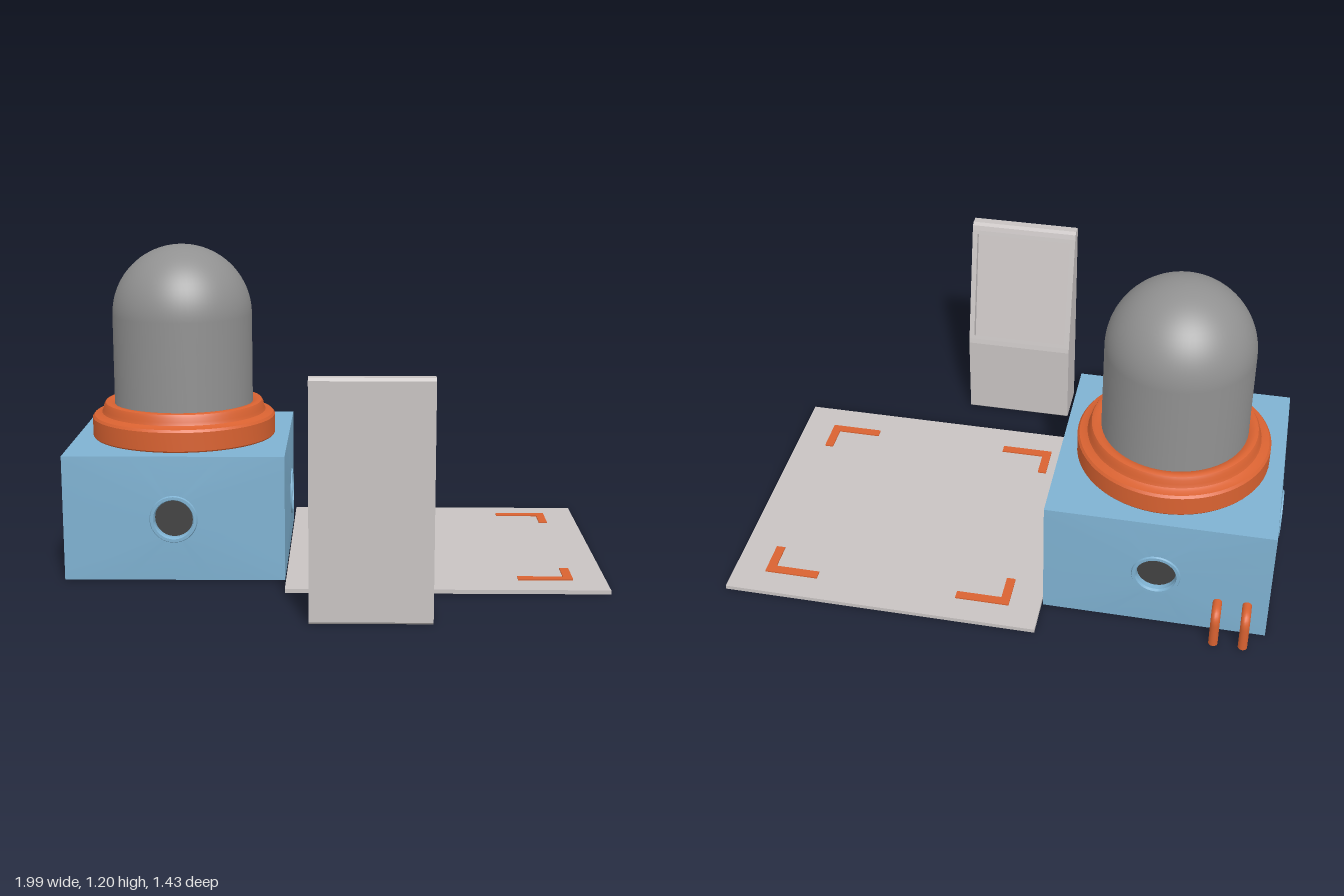
import * as THREE from 'three';
import { toCreasedNormals } from 'three/addons/utils/BufferGeometryUtils.js';

const mat = (name, color) => {
  const m = new THREE.MeshStandardMaterial({ color });
  m.name = name;
  return m;
};

export function createModel() {
  const blue = mat('blue', 0x7fb2d2);
  const orange = mat('orange', 0xd96231);
  const grey = mat('dome grey', 0x919191);
  const dark = mat('dark grey', 0x424242);
  const pale = mat('pale grey', 0xc8c3c2);

  const model = new THREE.Group();
  const add = (parent, name, geo, material, x = 0, y = 0, z = 0) => {
    const mesh = new THREE.Mesh(geo, material);
    mesh.name = name;
    mesh.position.set(x, y, z);
    parent.add(mesh);
    return mesh;
  };

  // Lamp unit: everything centred on the square base
  const lamp = new THREE.Group();
  lamp.name = 'lamp';
  lamp.position.set(-0.58, 0, -0.165);
  model.add(lamp);

  // Base: four bulging side panels, each with a recessed round port
  const half = 0.405, height = 0.465, recess = 0.388;
  const panelGeo = sidePanel(half, height / 2, [
    [0.088, 0.413], [0.085, 0.419], [0.074, 0.419], [0.07, 0.41], [0.07, recess],
  ]);
  for (let i = 0; i < 4; i++) {
    const side = new THREE.Group();
    side.name = 'baseSide';
    side.rotation.y = (i * Math.PI) / 2;
    lamp.add(side);
    add(side, 'sidePanel', panelGeo, blue, 0, height / 2, 0);
    add(side, 'port', new THREE.CircleGeometry(0.0705, 48), dark, 0, height / 2, recess + 0.001);
  }
  const lid = new THREE.PlaneGeometry(half * 2, half * 2);
  add(lamp, 'baseTop', lid, blue, 0, height, 0).rotation.x = -Math.PI / 2;
  add(lamp, 'baseBottom', lid, blue).rotation.x = Math.PI / 2;

  // Stepped collar with a rounded inner bead
  const collar = [
    [0.345, 0.463], [0.35, 0.47], [0.35, 0.54], [0.343, 0.549], [0.325, 0.552], [0.314, 0.558],
    [0.309, 0.57], [0.306, 0.585], [0.3, 0.596], [0.29, 0.6], [0.275, 0.598], [0.262, 0.59],
  ].map(([r, y]) => new THREE.Vector2(r, y));
  add(lamp, 'collar', toCreasedNormals(new THREE.LatheGeometry(collar, 64), 0.6), orange);

  // Dome: straight wall ending in a hemisphere
  const dome = [new THREE.Vector2(0.265, 0.5)];
  for (let i = 0; i <= 20; i++) {
    const a = (i / 20) * Math.PI / 2;
    dome.push(new THREE.Vector2(i === 20 ? 0 : 0.265 * Math.cos(a), 0.93 + 0.265 * Math.sin(a)));
  }
  add(lamp, 'dome', new THREE.LatheGeometry(dome, 64), grey);

  // Two bent pipes leaving the back of the base
  const V = (y, z) => new THREE.Vector3(0, y, z);
  const path = new THREE.CurvePath();
  path.add(new THREE.LineCurve3(V(0.138, -0.55), V(0.138, -0.602)));
  path.add(new THREE.QuadraticBezierCurve3(V(0.138, -0.602), V(0.138, -0.642), V(0.098, -0.642)));
  path.add(new THREE.LineCurve3(V(0.098, -0.642), V(0.002, -0.642)));
  for (const x of [-0.91, -0.805]) {
    add(model, 'pipe', new THREE.TubeGeometry(path, 32, 0.017, 14), orange, x, 0, 0);
    add(model, 'pipeEnd', new THREE.CircleGeometry(0.017, 14), orange, x, 0.002, -0.642).rotation.x = Math.PI / 2;
  }

  // Floor mat with four corner marks
  const cx = 0.4125, cz = -0.165;
  add(model, 'mat', new THREE.BoxGeometry(1.165, 0.015, 1.1), pale, cx, 0.0075, cz);
  const marks = [[-0.055, -0.615, 1, 1], [0.875, -0.615, -1, 1], [-0.055, 0.275, 1, -1], [0.875, 0.275, -1, -1]];
  for (const [x, z, sx, sz] of marks) {
    add(model, 'cornerMark', new THREE.BoxGeometry(0.2, 0.006, 0.033), orange, x + sx * 0.1, 0.017, z + sz * 0.0165);
    add(model, 'cornerMark', new THREE.BoxGeometry(0.033, 0.006, 0.102), orange, x + sx * 0.0165, 0.017, z + sz * 0.084);
  }

  // Wedge stand: two cheeks and a middle whose sloping back is sunk in
  const wedge = new THREE.Group();
  wedge.name = 'wedgeStand';
  model.add(wedge);
  const front = [[0.704, 0], [0.712, 0.008], [0.712, 0.832], [0.702, 0.842], [0.67, 0.842], [0.656, 0.834], [0.65, 0.815]];
  const foot = [[0.542, 0.355], [0.538, 0.335], [0.538, 0.008], [0.546, 0]];
  const slot = [[0.6465, 0.8], [0.6715, 0.794], [0.5705, 0.349], [0.5455, 0.355 + 0.0145]];
  const slab = (name, pts, x, width) => {
    const shape = new THREE.Shape(pts.map(([z, y]) => new THREE.Vector2(-z, y)));
    const geo = new THREE.ExtrudeGeometry(shape, { depth: width, bevelEnabled: false });
    geo.rotateY(Math.PI / 2);
    add(wedge, name, geo, pale, x, 0, 0);
  };
  slab('leftCheek', [...front, ...foot], 0.325, 0.02);
  slab('rightCheek', [...front, ...foot], -0.075, 0.02);
  slab('middle', [...front, ...slot, ...foot], -0.055, 0.38);

  return model;
}

// Rectangle blending into circular loops, each given as [radius, z]
function sidePanel(hw, hh, rings) {
  const n = 48, pos = [], index = [];
  const loop = (fn) => {
    for (let i = 0; i < n; i++) {
      const a = (i / n) * Math.PI * 2;
      pos.push(...fn(Math.cos(a), Math.sin(a)));
    }
  };
  loop((c, s) => {
    const m = Math.max(Math.abs(c), Math.abs(s));
    return [(c / m) * hw, (s / m) * hh, hw];
  });
  for (const [r, z] of rings) loop((c, s) => [c * r, s * r, z]);
  for (let k = 0; k < rings.length; k++) {
    for (let i = 0; i < n; i++) {
      const j = (i + 1) % n, a = k * n, b = a + n;
      index.push(a + i, a + j, b + j, a + i, b + j, b + i);
    }
  }
  const geo = new THREE.BufferGeometry();
  geo.setAttribute('position', new THREE.Float32BufferAttribute(pos, 3));
  geo.setIndex(index);
  return toCreasedNormals(geo, 0.4);
}
